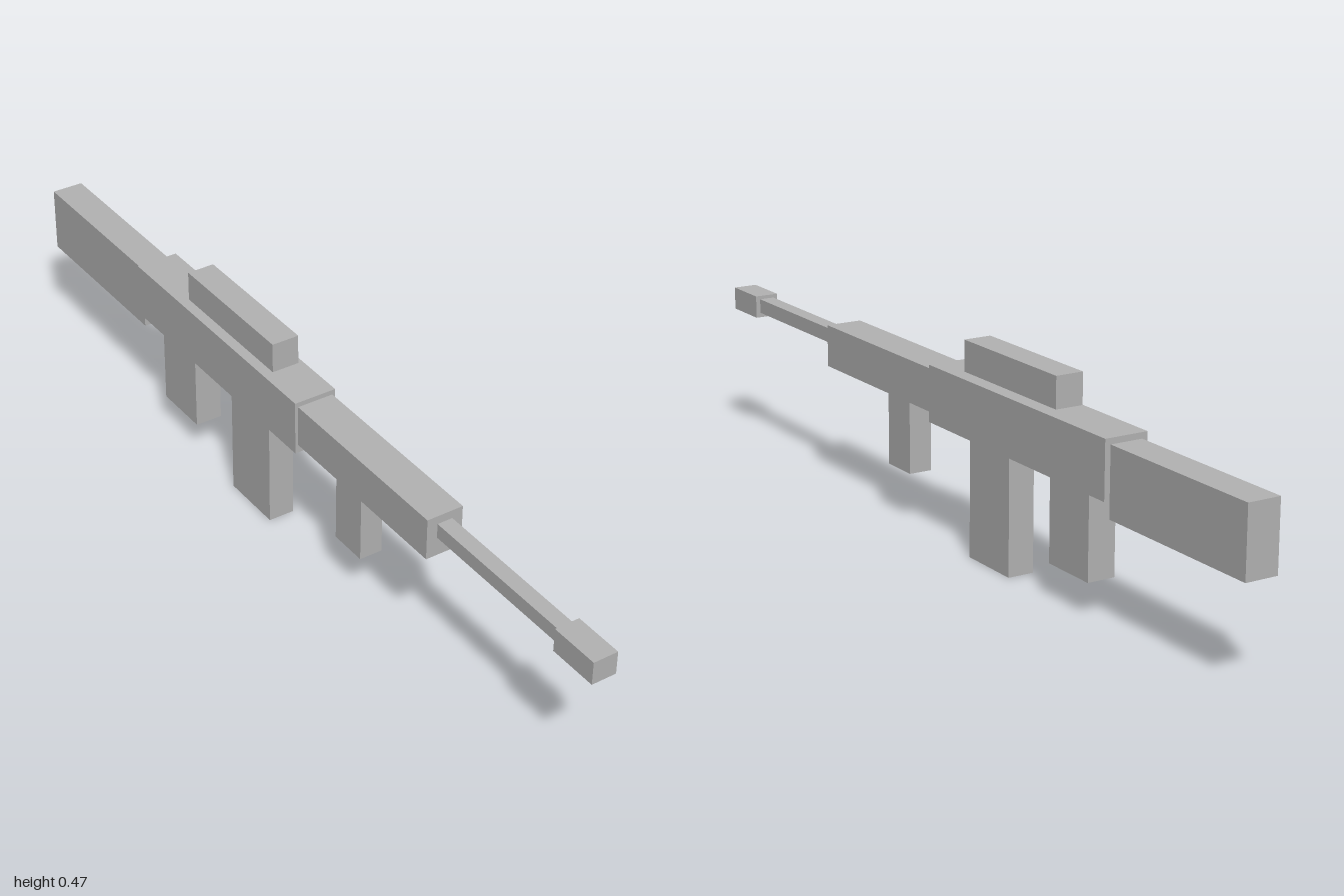
import * as THREE from 'three';

export function createModel() {
  const model = new THREE.Group();
  const grey = new THREE.MeshStandardMaterial({ color: 0xb3b3b3 });
  grey.name = 'grey';

  // A block centred on x = 0, given by its width and its y and z extents
  function block(name, width, [y0, y1], [z0, z1]) {
    const mesh = new THREE.Mesh(new THREE.BoxGeometry(width, y1 - y0, z1 - z0), grey);
    mesh.name = name;
    mesh.position.set(0, (y0 + y1) / 2, (z0 + z1) / 2);
    model.add(mesh);
  }

  // Main line, front to back
  block('muzzle', 0.056, [0.317, 0.369], [0.888, 1]);
  block('barrel', 0.035, [0.328, 0.361], [0.51, 0.888]);
  block('handguard', 0.084, [0.285, 0.38], [0.056, 0.51]);
  block('receiver', 0.098, [0.266, 0.391], [-0.585, 0.056]);
  block('stock', 0.073, [0.229, 0.378], [-1, -0.585]);

  // Sight, floating just above the receiver
  block('scope', 0.063, [0.399, 0.467], [-0.393, -0.056]);

  // Parts hanging below
  block('foregrip', 0.053, [0.116, 0.285], [0.175, 0.265]);
  block('magazine', 0.06, [0, 0.266], [-0.225, -0.075]);
  block('rearGrip', 0.063, [0.077, 0.266], [-0.51, -0.375]);

  return model;
}
